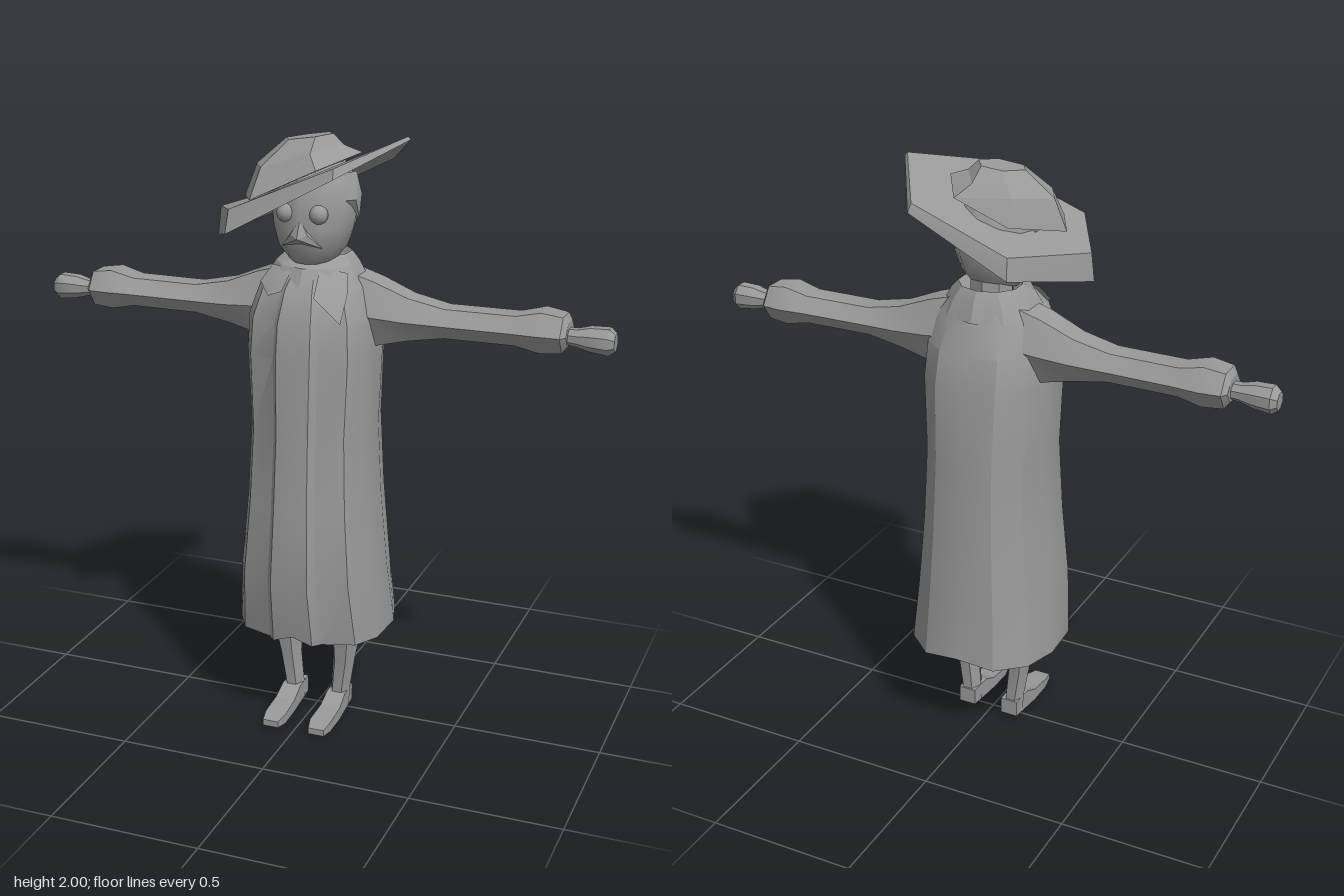
import * as THREE from 'three';
import { toCreasedNormals } from 'three/addons/utils/BufferGeometryUtils.js';
import { ConvexGeometry } from 'three/addons/geometries/ConvexGeometry.js';

const grey = new THREE.MeshStandardMaterial({ color: 0x999999, side: THREE.DoubleSide });
grey.name = 'grey';

// Skin a list of equal-length rings; caps close the ends, mirror flips x
function loft(rings, { caps = true, mirror = false, crease = 0.6 } = {}) {
  if (mirror) rings = rings.map(r => r.map(([x, y, z]) => [-x, y, z]).reverse());
  const n = rings[0].length, pos = [], idx = [];
  rings.forEach(r => r.forEach(p => pos.push(...p)));
  for (let j = 0; j < rings.length - 1; j++) {
    for (let i = 0; i < n; i++) {
      const a = j * n + i, b = j * n + (i + 1) % n;
      idx.push(a, b, b + n, a, b + n, a + n);
    }
  }
  if (caps) {
    const t = (rings.length - 1) * n;
    for (let i = 1; i < n - 1; i++) idx.push(0, i + 1, i, t, t + i, t + i + 1);
  }
  const g = new THREE.BufferGeometry();
  g.setAttribute('position', new THREE.Float32BufferAttribute(pos, 3));
  g.setIndex(idx);
  return toCreasedNormals(g, crease);
}

// Horizontal egg-shaped ring: y, half width, front z, back z, optional centre x
function ringY(n, [y, rx, zf, zb, cx = 0], phase = 0) {
  return Array.from({ length: n }, (_, i) => {
    const t = (i + phase) / n * Math.PI * 2;
    return [cx + rx * Math.sin(t), y, (zf + zb) / 2 + (zf - zb) / 2 * Math.cos(t)];
  });
}

const hull = pts => toCreasedNormals(new ConvexGeometry(pts.map(p => new THREE.Vector3(...p))), 0.4);

export function createModel() {
  const model = new THREE.Group();
  const add = (name, geometry) => {
    const m = new THREE.Mesh(geometry, grey);
    m.name = name;
    model.add(m);
    return m;
  };

  // Coat: half outline with a raised front placket, scaled per height
  const half = [[0.27, 0.98], [0.36, 0.88], [0.78, 0.74], [0.97, 0.42], [1, -0.15], [0.86, -0.6], [0.5, -0.91]];
  const outline = [[0, 1], ...half, [0, -1], ...half.slice().reverse().map(([x, z]) => [-x, z])];
  const coatRows = [
    [0.33, 0.255, 0.24, -0.28], [0.55, 0.235, 0.275, -0.265], [0.8, 0.212, 0.257, -0.25],
    [1.05, 0.2, 0.238, -0.235], [1.3, 0.212, 0.23, -0.222], [1.42, 0.205, 0.215, -0.195],
    [1.52, 0.17, 0.175, -0.15], [1.59, 0.115, 0.11, -0.12],
  ];
  add('coat', loft(coatRows.map(([y, rx, zf, zb], row) => outline.map(([x, z]) =>
    [x * rx, y + (row === 0 && Math.abs(x) < 0.1 ? 0.025 : 0), (zf + zb) / 2 + z * (zf - zb) / 2])),
    { caps: false, crease: 0.5 }));

  // Collar band and its two front flaps
  add('collar', loft([
    [1.52, 0.172, 0.172, -0.158], [1.585, 0.135, 0.135, -0.135],
    [1.615, 0.105, 0.075, -0.115], [1.57, 0.08, 0.05, -0.085],
  ].map(r => ringY(10, r)), { caps: false, crease: 0.4 }));
  add('leftCollarFlap', hull([[0.05, 1.59, 0.11], [0.13, 1.57, 0.08], [0.145, 1.43, 0.185],
    [0.06, 1.51, 0.195], [0.15, 1.52, 0.13], [0.09, 1.52, 0.12]]));
  add('rightCollarFlap', hull([[-0.04, 1.58, 0.12], [-0.12, 1.58, 0.09], [-0.1, 1.5, 0.18],
    [-0.05, 1.52, 0.19], [-0.15, 1.53, 0.12], [-0.09, 1.52, 0.12]]));

  // Sleeves, hands, legs and shoes, one of each per side
  const ringX = ([x, lo, hi, zf, zb], n = 6) => Array.from({ length: n }, (_, i) => {
    const t = (i + 0.5) / n * Math.PI * 2;
    const k = n === 6 ? Math.cos(Math.PI / 6) : Math.cos(Math.PI / 8);
    return [x, (lo + hi) / 2 + (hi - lo) / 2 * Math.cos(t) / k, (zf + zb) / 2 + (zf - zb) / 2 * Math.sin(t)];
  });
  for (const mirror of [false, true]) {
    const side = mirror ? 'right' : 'left';
    add(side + 'Sleeve', loft([
      [0.1, 1.32, 1.565, 0.08, -0.12], [0.2, 1.325, 1.535, 0.075, -0.115], [0.31, 1.35, 1.49, 0.06, -0.105],
      [0.43, 1.37, 1.465, 0.052, -0.1], [0.66, 1.37, 1.465, 0.05, -0.105], [0.74, 1.355, 1.485, 0.062, -0.118],
      [0.81, 1.36, 1.475, 0.05, -0.105], [0.825, 1.38, 1.455, 0.03, -0.085],
    ].map(r => ringX(r)), { mirror }));
    add(side + 'Hand', loft([
      [0.8, 1.385, 1.435, 0.01, -0.06], [0.85, 1.38, 1.435, 0.01, -0.06], [0.89, 1.37, 1.445, 0.02, -0.07],
      [0.95, 1.362, 1.447, 0.018, -0.07], [0.97, 1.375, 1.43, 0.005, -0.055],
    ].map(r => ringX(r, 8)), { mirror }));
    add(side + 'Leg', loft([
      [0.01, 0.033, 0.045, -0.042, 0.082], [0.08, 0.034, 0.045, -0.042, 0.085], [0.19, 0.039, 0.052, -0.042, 0.098],
      [0.33, 0.055, 0.08, -0.075, 0.108], [0.75, 0.085, 0.1, -0.1, 0.1],
    ].map(r => ringY(6, r, 0.5)), { mirror }));
    // Shoe sections: z, inner x, outer x, bottom, top
    add(side + 'Shoe', loft([
      [-0.042, 0.052, 0.112, 0.012, 0.07], [0.04, 0.05, 0.115, 0.004, 0.07],
      [0.1, 0.048, 0.118, 0, 0.043], [0.19, 0.045, 0.118, 0, 0.034], [0.235, 0.055, 0.11, 0.003, 0.025],
    ].map(([z, a, b, lo, hi]) => [[b, lo, z], [b, hi, z], [a, hi, z], [a, lo, z]]), { mirror, crease: 0.3 }));

    // Eyeball and hair lock beside the face
    const s = mirror ? -1 : 1;
    const eye = add(side + 'Eye', new THREE.SphereGeometry(0.031, 10, 8));
    eye.position.set(s * 0.055, 1.762, 0.135);
    add(side + 'HairLock', hull([[s * 0.1, 1.88, 0.075], [s * 0.13, 1.88, 0], [s * 0.148, 1.8, 0.055],
      [s * 0.148, 1.81, 0.0], [s * 0.14, 1.73, 0.0], [s * 0.1, 1.8, 0.1], [s * 0.1, 1.76, 0]]));
  }

  // Neck and head
  add('neck', loft([[1.5, 0.075, 0.06, -0.08], [1.66, 0.07, 0.06, -0.08]].map(r => ringY(8, r))));
  add('head', loft([
    [1.57, 0.03, 0.09, 0.02], [1.6, 0.075, 0.12, -0.05], [1.65, 0.112, 0.155, -0.095], [1.71, 0.13, 0.165, -0.118],
    [1.78, 0.142, 0.155, -0.124], [1.85, 0.132, 0.145, -0.11], [1.91, 0.09, 0.1, -0.07],
  ].map(r => ringY(12, r)), { crease: 0.7 }));
  add('nose', hull([[0, 1.75, 0.155], [-0.028, 1.7, 0.165], [0.028, 1.7, 0.165], [0, 1.69, 0.185],
    [-0.068, 1.655, 0.135], [0.068, 1.655, 0.135], [0, 1.665, 0.15]]));

  // Tilted hexagonal hat: rim corners listed counter-clockwise from above
  const rim = [[-0.2, 1.71, 0.28], [0.14, 1.895, 0.24], [0.3, 1.985, -0.02],
    [0.17, 1.88, -0.24], [-0.16, 1.71, -0.23], [-0.33, 1.65, 0.04]];
  const lip = rim.map(([x, y, z]) => [x * 0.97, y + 0.05 - 0.13 * x, z * 0.94]).map(p => [p[0], Math.min(p[1], 1.995), p[2]]);
  const underside = rim.map(([x, y, z]) => [x * 0.5, 1.825 + (y - 1.82) * 0.5, z * 0.5]);
  add('hatBrim', loft([underside, rim, lip], { crease: 0.3 }));
  const base = [[-0.16, 1.8, 0.18], [0.05, 1.9, 0.15], [0.15, 1.94, 0],
    [0.07, 1.91, -0.13], [-0.1, 1.83, -0.1], [-0.225, 1.79, 0.06]];
  const mid = base.map(([x, y, z]) => [-0.05 + (x + 0.04) * 0.74, 1.925 + (y - 1.86) * 0.45, 0.025 + (z - 0.025) * 0.7]);
  const crown = base.map(([x, y, z]) => [-0.02 + (x + 0.04) * 0.4, 1.985 + (y - 1.86) * 0.12, 0.02 + (z - 0.025) * 0.35]);
  add('hatCrown', loft([base, mid, crown], { crease: 0.2 }));

  return model;
}
